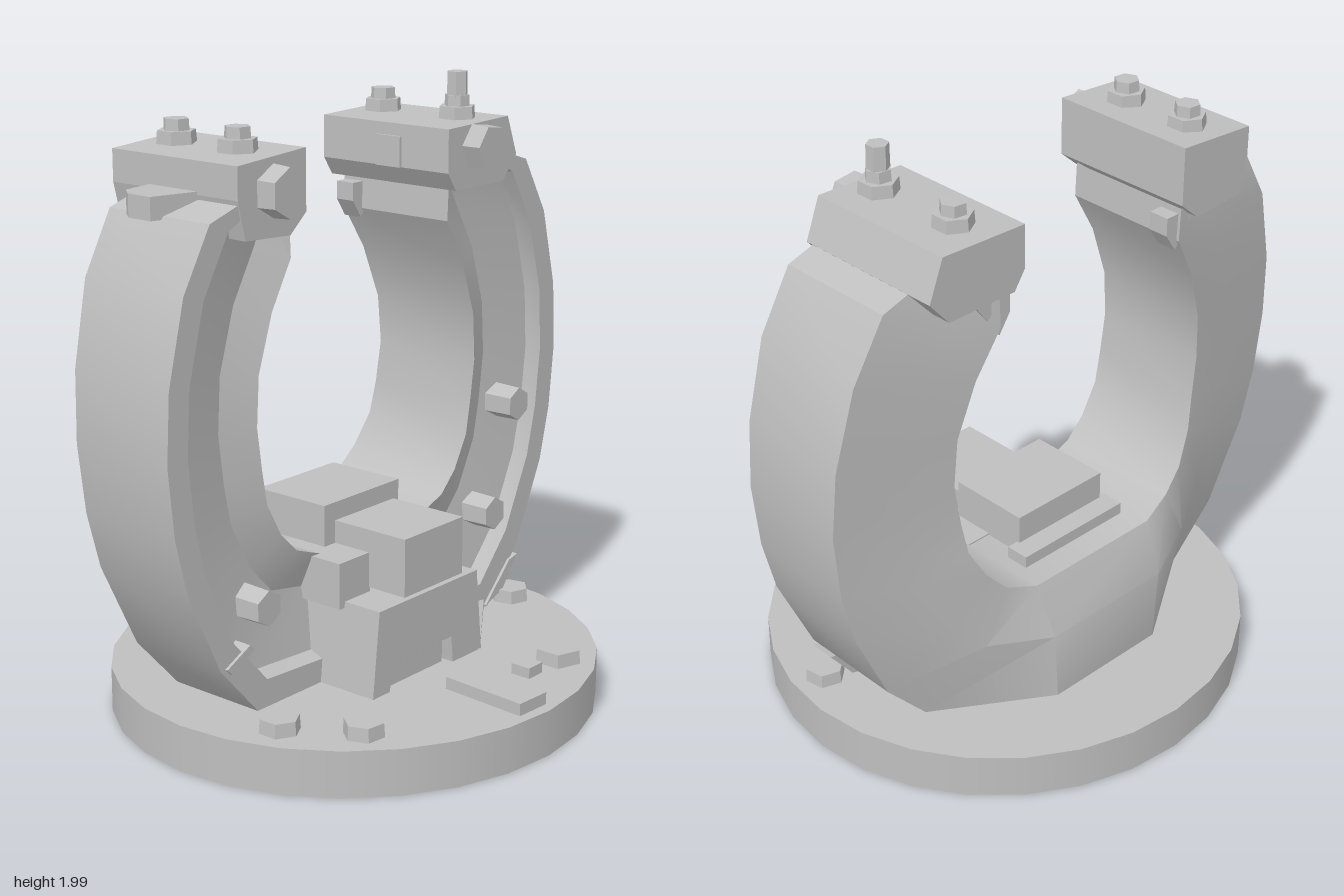
import * as THREE from 'three';
import { toCreasedNormals } from 'three/addons/utils/BufferGeometryUtils.js';

export function createModel() {
  const group = new THREE.Group();
  const grey = new THREE.MeshStandardMaterial({ color: 0xbfbfbf, side: THREE.DoubleSide });
  grey.name = 'plain grey';

  const add = (name, geo, x = 0, y = 0, z = 0) => {
    const m = new THREE.Mesh(geo, grey);
    m.name = name;
    m.position.set(x, y, z);
    group.add(m);
    return m;
  };
  // box given by its limits on each axis
  const box = (name, x0, x1, y0, y1, z0, z1) =>
    add(name, new THREE.BoxGeometry(x1 - x0, y1 - y0, z1 - z0), (x0 + x1) / 2, (y0 + y1) / 2, (z0 + z1) / 2);
  const shapeOf = (pts) => new THREE.Shape(pts.map((p) => new THREE.Vector2(p[0], p[1])));
  // front profile (x, y) pulled from z0 to z1
  const slab = (name, pts, z0, z1) =>
    add(name, new THREE.ExtrudeGeometry(shapeOf(pts), { depth: z1 - z0, bevelEnabled: false }), 0, 0, z0);
  // six-sided head starting at a point and growing along y, or along z
  const hex = (name, r, h, x, y, z, forward = false, turn = 0, sides = 6) => {
    const g = new THREE.CylinderGeometry(r * 0.95, r, h, sides).toNonIndexed();
    g.rotateY(turn).translate(0, h / 2, 0);
    if (forward) g.rotateX(Math.PI / 2);
    g.computeVertexNormals();
    return add(name, g, x, y, z);
  };

  // base: open-bottomed disc with an opening under the arch
  const R = 0.81, squash = 0.78 / R, top = 0.16;
  const rim = new THREE.CylinderGeometry(R, R, 0.15, 28, 1, true);
  rim.scale(1, 1, squash);
  add('baseRim', rim, 0, 0.085, 0);
  const disc = shapeOf(Array.from({ length: 28 }, (_, i) => {
    const a = (i / 28) * Math.PI * 2;
    return [Math.sin(a) * R, Math.cos(a) * R * squash];
  }));
  disc.holes.push(new THREE.Path([[-0.56, -0.09], [-0.56, 0.24], [-0.22, 0.46], [0.22, 0.46], [0.56, 0.24], [0.56, -0.09]]
    .map((p) => new THREE.Vector2(p[0], p[1]))));
  const plate = new THREE.ShapeGeometry(disc);
  plate.rotateX(-Math.PI / 2);
  add('baseTop', plate, 0, top, 0);

  // arch stations: outer x, y, inner x, y, back depth at outer, middle, inner
  const half = [
    [0.22, 0.15, 0.25, 0.57, -0.47, -0.47, -0.40],
    [0.58, 0.16, 0.36, 0.61, -0.24, -0.38, -0.38],
    [0.74, 0.34, 0.43, 0.68, -0.25, -0.34, -0.37],
    [0.87, 0.62, 0.49, 0.79, -0.26, -0.32, -0.35],
    [0.915, 0.80, 0.51, 0.90, -0.265, -0.31, -0.34],
    [0.938, 1.02, 0.53, 1.04, -0.27, -0.31, -0.335],
    [0.925, 1.24, 0.52, 1.20, -0.28, -0.315, -0.34],
    [0.86, 1.50, 0.46, 1.38, -0.295, -0.33, -0.355],
    [0.75, 1.69, 0.375, 1.53, -0.30, -0.34, -0.37],
    [0.56, 1.75, 0.38, 1.64, -0.30, -0.34, -0.37],
  ];
  const stations = [
    ...half.map(([a, b, c, ...d]) => [-a, b, -c, ...d]).reverse(),
    ...half,
  ];
  const pos = [], index = [], N = 8;
  for (const [ox, oy, ix, iy, zo, zm, zi] of stations) {
    // fraction from inner to outer edge, and z: raised lip, then a shallow channel
    const ring = [[1, zo], [1, 0.105], [0.8, 0.105], [0.76, 0.055], [0.28, 0.02], [0, 0.07], [0, zi], [0.4, zm]];
    for (const [f, z] of ring) pos.push(ix + (ox - ix) * f, iy + (oy - iy) * f, z);
  }
  for (let i = 0; i < stations.length - 1; i++) {
    for (let j = 0; j < N; j++) {
      // the lowest strip stays open into the base
      if (j === 0 && stations[i][1] < 0.2 && stations[i + 1][1] < 0.2) continue;
      const a = i * N + j, d = i * N + ((j + 1) % N), b = a + N, c = d + N;
      index.push(a, b, c, a, c, d);
    }
  }
  const arch = new THREE.BufferGeometry();
  arch.setAttribute('position', new THREE.Float32BufferAttribute(pos, 3));
  arch.setIndex(index);
  add('arch', toCreasedNormals(arch, 0.45));

  // end blocks on the arch tips
  slab('leftEndBlock', [[0.30, 1.70], [0.34, 1.64], [0.59, 1.64], [0.66, 1.72], [0.61, 1.85], [0.30, 1.84]], -0.39, 0.13);
  slab('rightEndBlock', [[-0.64, 1.84], [-0.64, 1.74], [-0.61, 1.62], [-0.42, 1.61], [-0.35, 1.67], [-0.35, 1.86]], -0.40, 0.11);
  for (const s of [-1, 1]) {
    slab('tipHook', [[0.33, 1.62], [0.33, 1.56], [0.37, 1.50], [0.46, 1.62]].map(([x, y]) => [s * x, y]), -0.36, -0.29);
  }
  box('innerTab', 0.29, 0.34, 1.70, 1.80, -0.16, -0.06);
  const lug = new THREE.ExtrudeGeometry(
    shapeOf([[-0.60, 0.25], [-0.75, 0.23], [-0.79, 0.18], [-0.79, 0.09], [-0.60, 0.04]]),
    { depth: 0.07, bevelEnabled: false });
  lug.rotateX(-Math.PI / 2);
  add('sideLug', lug, 0, 1.68, 0);

  // bolts on the end blocks
  for (const [x, z] of [[-0.49, -0.28], [-0.49, -0.03], [0.46, -0.27], [0.47, 0.03]]) {
    hex('boltWasher', 0.063, 0.04, x, 1.85, z);
    hex('boltHead', 0.042, 0.035, x, 1.89, z, false, 0.4);
  }
  hex('pin', 0.036, 0.11, 0.47, 1.89, 0.03);
  hex('frontBolt', 0.08, 0.065, -0.49, 1.75, 0.11, true);
  hex('frontBolt', 0.08, 0.065, 0.45, 1.77, 0.13, true, 0.4);

  // bolts on the arms
  for (const [x, y, z] of [[-0.55, 0.49, 0.02], [0.58, 0.50, 0.02], [0.705, 0.86, 0.02]]) {
    hex('armBolt', 0.06, 0.11, x, y, z, true);
  }

  // central housing with a notched foot
  slab('housing', [[-0.29, 0.16], [-0.26, 0.44], [0.23, 0.44], [0.26, 0.16], [0.11, 0.16], [0.10, 0.25], [-0.19, 0.25], [-0.21, 0.16]], 0.0, 0.32);
  box('notchFill', -0.18, 0.09, 0.16, 0.23, 0.05, 0.29);
  box('housingShoulder', -0.285, -0.14, 0.42, 0.57, -0.10, 0.18);
  box('housingShoulder', 0.13, 0.26, 0.42, 0.575, -0.10, 0.17);
  box('frontBlock', -0.145, 0.145, 0.455, 0.645, 0.0, 0.325);
  box('rearBlock', -0.195, 0.17, 0.40, 0.705, -0.24, 0.04);
  box('rearBar', -0.22, 0.21, 0.50, 0.61, -0.31, -0.23);

  // ramp beside the housing, and small clamps at the arch feet
  const ramp = new THREE.BufferGeometry();
  ramp.setAttribute('position', new THREE.Float32BufferAttribute(
    [0.24, 0.16, 0.33, 0.58, 0.19, 0.09, 0.24, 0.24, 0.10, 0.24, 0.16, 0.33, 0.58, 0.16, 0.09, 0.58, 0.19, 0.09], 3));
  ramp.computeVertexNormals();
  add('footRamp', ramp);
  slab('footClamp', [[0.56, 0.17], [0.65, 0.20], [0.735, 0.31], [0.69, 0.30]], 0.03, 0.115);
  slab('footClamp', [[-0.72, 0.34], [-0.70, 0.32], [-0.60, 0.37], [-0.62, 0.39]], 0.03, 0.115);

  // fittings on the base
  for (const [x, z, turn] of [[-0.64, 0.25, 0], [-0.50, 0.46, 0.4], [0.69, 0.12, 0.2]]) {
    hex('baseBolt', 0.066, 0.045, x, top, z, false, turn);
  }
  hex('baseBolt', 0.075, 0.045, 0.34, top, 0.57, false, 0.3, 5);
  box('baseBar', -0.085, 0.04, top, 0.20, 0.44, 0.74).rotation.y = -0.06;
  box('baseStud', 0.155, 0.225, top, 0.195, 0.52, 0.59);
  return group;
}
